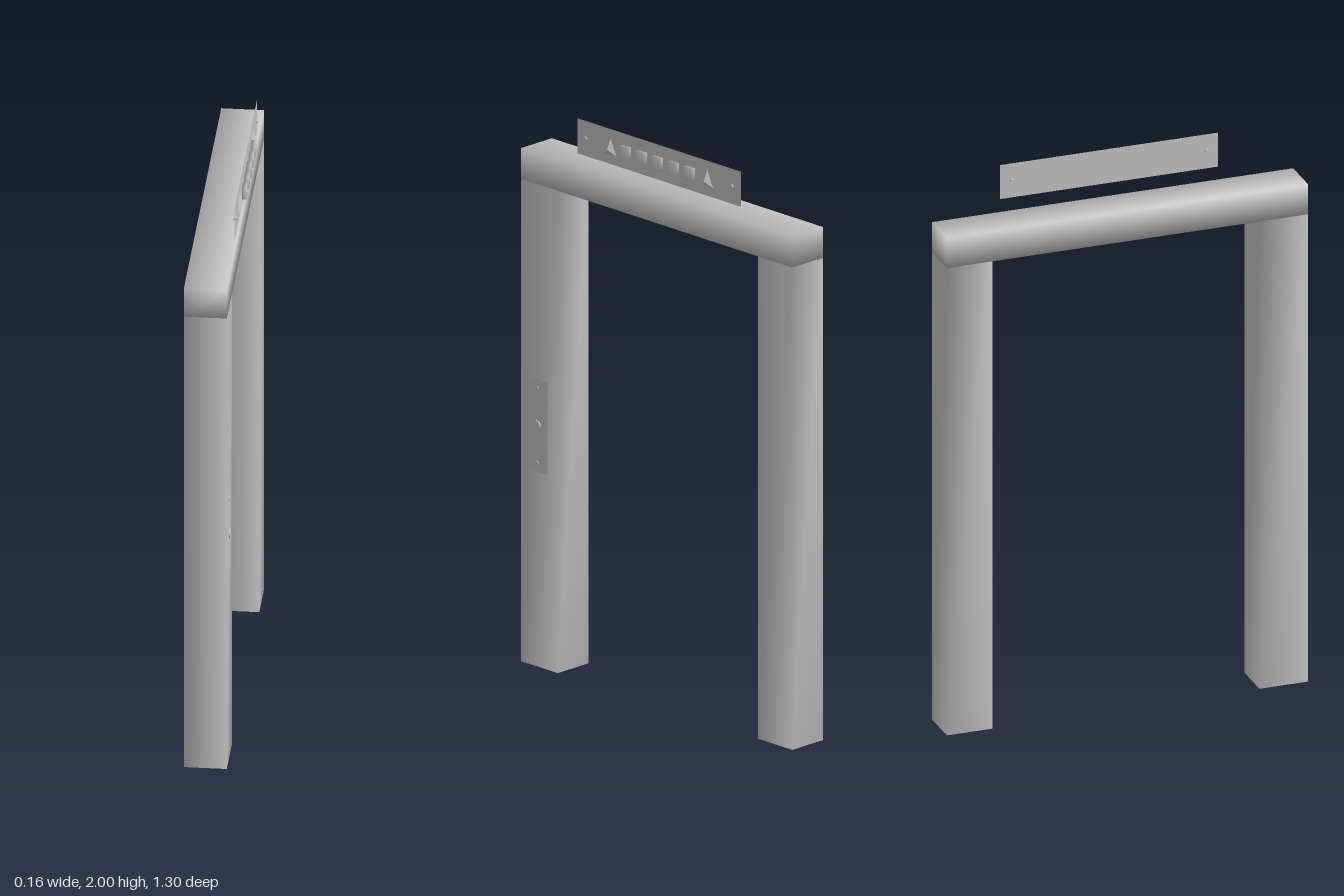
import * as THREE from 'three';
import { mergeVertices } from 'three/addons/utils/BufferGeometryUtils.js';

export function createModel() {
  const model = new THREE.Group();
  model.name = 'doorway';
  const grey = new THREE.MeshStandardMaterial({ color: 0xc4c4c4, side: THREE.DoubleSide });
  grey.name = 'grey metal';

  function add(name, geometry, x, y, z, parent = model) {
    const mesh = new THREE.Mesh(geometry, grey);
    mesh.name = name;
    mesh.position.set(x, y, z);
    parent.add(mesh);
    return mesh;
  }

  // Box with shared corners, so its shading runs smoothly over the edges
  function softBox(w, h, d) {
    const g = new THREE.BoxGeometry(w, h, d);
    g.deleteAttribute('normal');
    g.deleteAttribute('uv');
    const merged = mergeVertices(g);
    merged.computeVertexNormals();
    return merged;
  }

  // Flat plate facing +x
  const plate = (h, d) => new THREE.PlaneGeometry(d, h).rotateY(Math.PI / 2);

  // Short cylinder with its axis along x
  const stud = (radius, length, sides = 16) =>
    new THREE.CylinderGeometry(radius, radius, length, sides).rotateZ(-Math.PI / 2);

  // Frame
  const frameX = -0.012, frameW = 0.145;
  add('frontPost', softBox(frameW, 1.716, 0.175), frameX, 0.858, 0.5625);
  add('backPost', softBox(frameW, 1.716, 0.165), frameX, 0.858, -0.5675);
  add('lintel', softBox(frameW, 0.11, 1.3), frameX, 1.773, 0);

  // Floor indicator floating above the lintel
  const indicator = new THREE.Group();
  indicator.name = 'floorIndicator';
  model.add(indicator);
  const midY = 1.9375, midZ = -0.012;
  add('indicatorPlate', plate(0.125, 0.785), 0.061, midY, midZ, indicator);
  for (let i = -2; i <= 2; i++) {
    add('floorLamp', softBox(0.016, 0.044, 0.042), 0.072, midY, midZ + i * 0.0767, indicator);
  }

  // Direction arrows: low three-sided pyramids pointing outward
  for (const side of [-1, 1]) {
    const triangle = [[0.03, 0], [-0.028, 0.028], [-0.028, -0.028]];
    const points = [];
    triangle.forEach(([y, z], i) => {
      const [y2, z2] = triangle[(i + 1) % 3];
      points.push(0, y, z, 0, y2, z2, 0.016, -0.008, 0);
    });
    const arrow = new THREE.BufferGeometry();
    arrow.setAttribute('position', new THREE.Float32BufferAttribute(points, 3));
    arrow.computeVertexNormals();
    add('directionArrow', arrow, 0.062, midY, midZ + side * 0.232, indicator);
    add('indicatorScrew', stud(0.007, 0.012, 10), 0.06, midY, midZ + side * 0.351, indicator);
  }

  // Call panel on the front post
  const call = new THREE.Group();
  call.name = 'callPanel';
  model.add(call);
  add('callPlate', plate(0.33, 0.1), 0.0615, 0.86, 0.573, call);
  add('callButton', stud(0.017, 0.008, 20), 0.062, 0.86, 0.573, call);
  for (const y of [0.725, 0.992]) {
    add('callScrew', stud(0.008, 0.005, 10), 0.062, y, 0.573, call);
  }

  return model;
}
